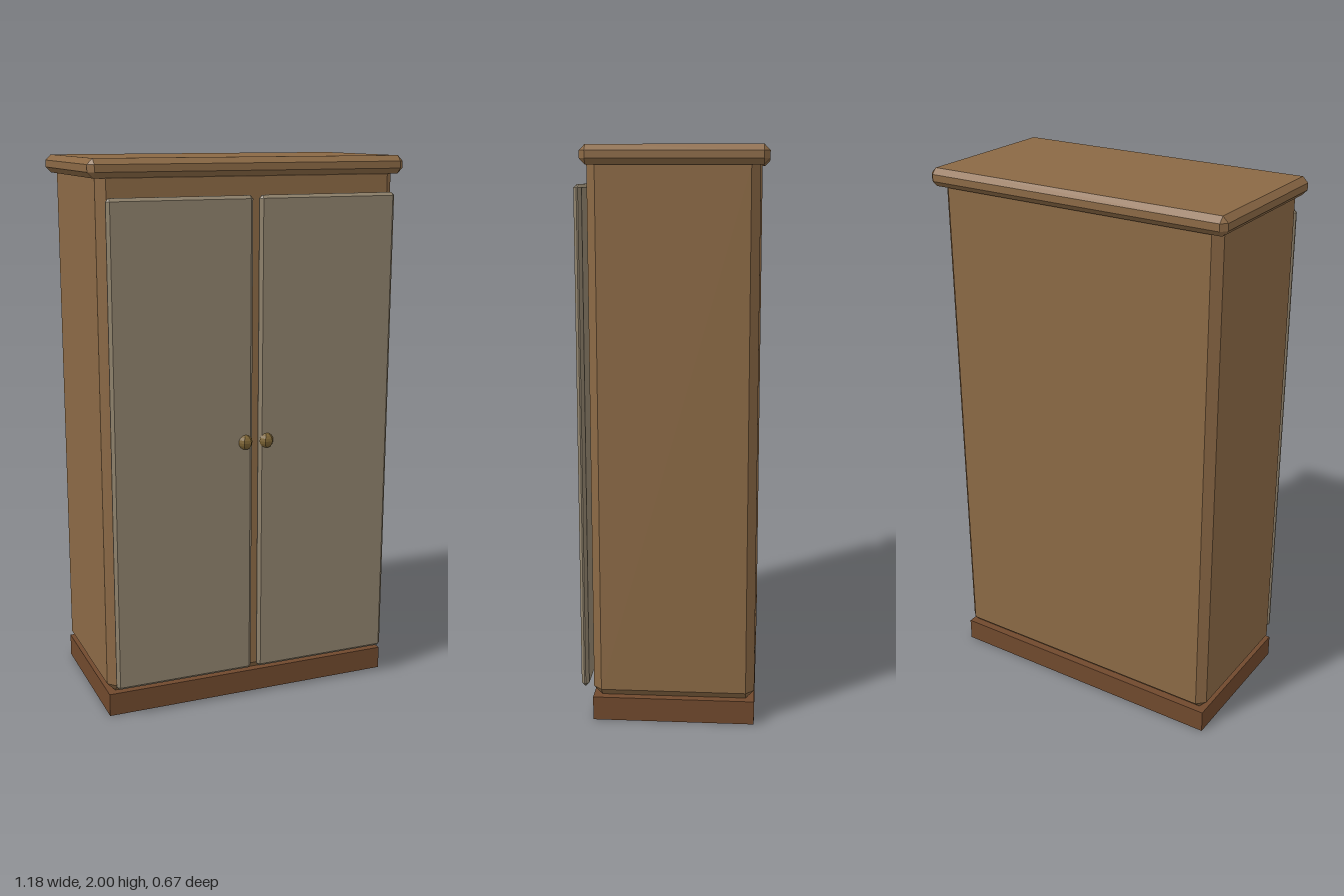
import * as THREE from 'three';
import { ConvexGeometry } from 'three/addons/geometries/ConvexGeometry.js';

const mat = (color) => new THREE.MeshStandardMaterial({ color, flatShading: true });

// Box with every edge chamfered by c, given by its lower and upper corners
function chamferBox(min, max, c) {
  const mid = min.map((v, i) => (v + max[i]) / 2);
  const half = min.map((v, i) => (max[i] - v) / 2);
  const points = [];
  for (const sx of [-1, 1]) for (const sy of [-1, 1]) for (const sz of [-1, 1]) {
    const s = [sx, sy, sz];
    for (let face = 0; face < 3; face++) {
      points.push(new THREE.Vector3(
        ...s.map((sign, i) => mid[i] + sign * (half[i] - (i === face ? 0 : c)))));
    }
  }
  return new ConvexGeometry(points);
}

export function createModel() {
  const group = new THREE.Group();
  const add = (name, geometry, material, parent = group) => {
    const mesh = new THREE.Mesh(geometry, material);
    mesh.name = name;
    parent.add(mesh);
    return mesh;
  };

  const wood = mat(0x8b6945);
  const darkWood = mat(0x70492d);
  const panel = mat(0x8f826c);
  const brass = mat(0x7a6233);

  // Plinth, carcass and overhanging top
  add('plinth', new THREE.BoxGeometry(1.112, 0.085, 0.57), darkWood).position.set(0, 0.0425, -0.02);
  add('carcass', chamferBox([-0.556, 0.085, -0.305], [0.556, 1.965, 0.265], 0.03), wood);
  add('top', chamferBox([-0.588, 1.935, -0.335], [0.588, 2, 0.283], 0.02), wood);

  // Pair of doors standing just proud of the carcass, each with a knob
  for (const side of [1, -1]) {
    const door = new THREE.Group();
    door.name = side > 0 ? 'leftDoor' : 'rightDoor';
    const x = [side * 0.012, side * 0.538].sort((a, b) => a - b);
    add('doorPanel', chamferBox([x[0], 0.115, 0.282], [x[1], 1.872, 0.309], 0.011), panel, door);
    add('knob', new THREE.SphereGeometry(0.027, 6, 8), brass, door).position.set(side * 0.041, 1, 0.308);
    group.add(door);
  }
  return group;
}
